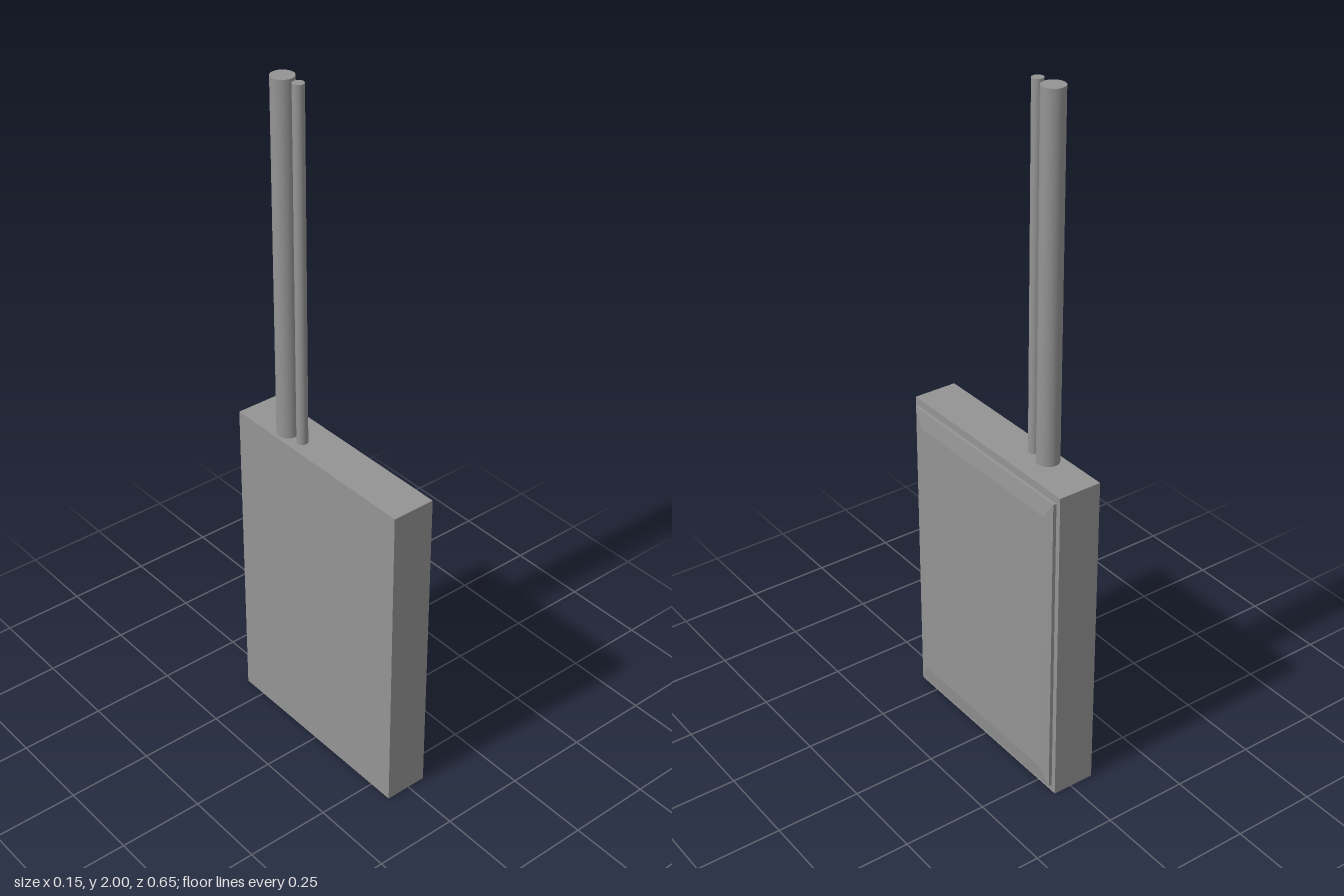
import * as THREE from 'three';

export function createModel() {
  const group = new THREE.Group();
  const material = new THREE.MeshStandardMaterial({ color: 0x949494 });

  function add(name, geometry, x, y, z) {
    const mesh = new THREE.Mesh(geometry, material);
    mesh.name = name;
    mesh.position.set(x, y, z);
    group.add(mesh);
  }

  // Cabinet body
  const bodyHeight = 0.972;
  add('cabinetBody', new THREE.BoxGeometry(0.129, bodyHeight, 0.65), -0.0085, bodyHeight / 2, 0);

  // Cover panel: straight rim, then a shallow bevel towards a smaller outer face
  const rim = 0.01, bevel = 0.007, inset = { y: 0.05, z: 0.033 };
  const panelY = bodyHeight / 2;
  add('panelRim', new THREE.BoxGeometry(rim, 0.928, 0.62), 0.056 + rim / 2, panelY, 0);

  const face = new THREE.BoxGeometry(bevel, 0.928, 0.62).toNonIndexed();
  const p = face.attributes.position;
  for (let i = 0; i < p.count; i++) {
    if (p.getX(i) > 0) {
      p.setY(i, p.getY(i) - Math.sign(p.getY(i)) * inset.y);
      p.setZ(i, p.getZ(i) - Math.sign(p.getZ(i)) * inset.z);
    }
  }
  face.computeVertexNormals();
  add('panelFace', face, 0.056 + rim + bevel / 2, panelY, 0);

  // Two pipes rising from the top
  const pipes = [
    ['largePipe', 0.032, -0.16],
    ['smallPipe', 0.016, -0.099],
  ];
  const pipeHeight = 2 - bodyHeight;
  for (const [name, radius, z] of pipes) {
    add(name, new THREE.CylinderGeometry(radius, radius, pipeHeight, 48), -0.032, bodyHeight + pipeHeight / 2, z);
  }

  return group;
}
